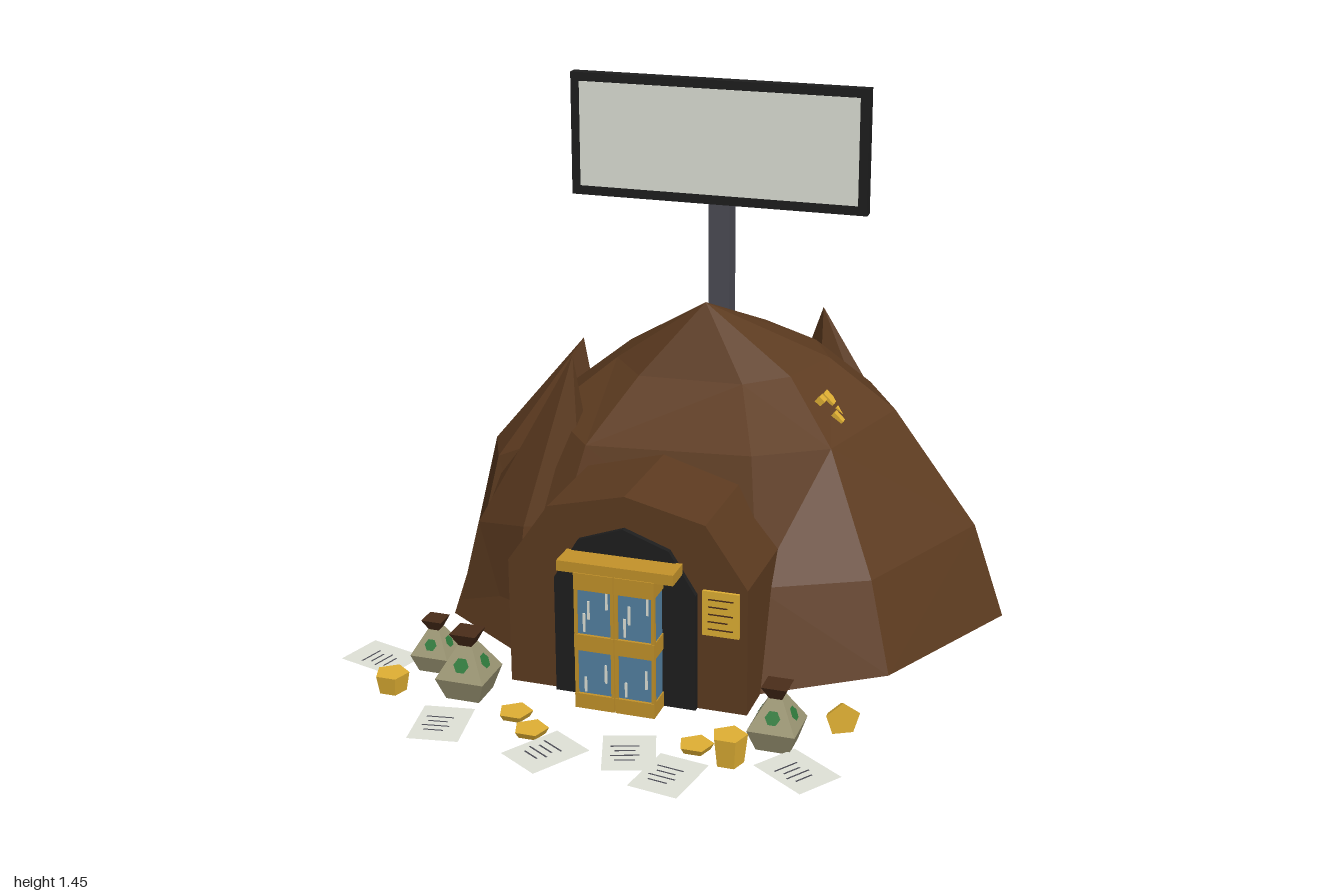
import * as THREE from 'three';

const mat = (name, color, extra = {}) => {
  const m = new THREE.MeshStandardMaterial({ color, flatShading: true, ...extra });
  m.name = name;
  return m;
};

export function createModel() {
  const root = new THREE.Group();
  const earth = mat('earth brown', 0x5d3b20, { side: THREE.DoubleSide });
  const black = mat('soft black', 0x1e1e1e);
  const steel = mat('steel grey', 0x4c4c55);
  const pale = mat('pale grey', 0xe0e2d8, { side: THREE.DoubleSide });
  const brass = mat('brass', 0xc4932a);
  const gold = mat('bright gold', 0xe0b034);
  const glass = mat('blue glass', 0x5482a2);
  const sack = mat('sackcloth', 0x9c9674);
  const knot = mat('dark leather', 0x4a2d1a);
  const green = mat('green', 0x2f7a3c);

  const add = (name, geometry, material, x = 0, y = 0, z = 0, parent = root) => {
    const m = new THREE.Mesh(geometry, material);
    m.name = name;
    m.position.set(x, y, z);
    parent.add(m);
    return m;
  };
  // box given by its extents
  const box = (name, material, x0, x1, y0, y1, z0, z1, parent = root) =>
    add(name, new THREE.BoxGeometry(x1 - x0, y1 - y0, z1 - z0), material,
      (x0 + x1) / 2, (y0 + y1) / 2, (z0 + z1) / 2, parent);
  const group = (name, x = 0, y = 0, z = 0, parent = root) => {
    const g = new THREE.Group();
    g.name = name;
    g.position.set(x, y, z);
    parent.add(g);
    return g;
  };

  // open-bottomed shell through stacked rings up to a point
  function shell(rings, apex) {
    const out = [];
    const n = rings[0].length;
    for (let r = 0; r < rings.length; r++) {
      for (let i = 0; i < n; i++) {
        const j = (i + 1) % n;
        const a = rings[r][i], b = rings[r][j];
        if (r === rings.length - 1) { out.push(...a, ...apex, ...b); continue; }
        const c = rings[r + 1][j], d = rings[r + 1][i];
        if ((i + r) % 2) out.push(...a, ...d, ...c, ...a, ...c, ...b);
        else out.push(...a, ...d, ...b, ...b, ...d, ...c);
      }
    }
    const g = new THREE.BufferGeometry();
    g.setAttribute('position', new THREE.Float32BufferAttribute(out, 3));
    g.computeVertexNormals();
    return g;
  }

  // mound, fuller towards the entrance
  const foot = [[0.82, -0.22], [0.6, 0.23], [0.31, 0.43], [-0.33, 0.43], [-0.63, 0.23],
    [-0.76, -0.22], [-0.6, -0.67], [-0.24, -0.95], [0.12, -0.95], [0.6, -0.67]];
  const levels = [[0, 1, 0], [0.25, 0.89, 0], [0.56, 0.6, 0.11], [0.7, 0.365, 0.085]];
  const moundRings = levels.map(([y, s, bulge], r) => foot.map(([x, z], i) => {
    const k = s + (z > 0.4 ? bulge : z > 0 ? bulge * 0.4 : 0);
    return [0.02 + (x - 0.02) * k, y + (r ? 0.012 * Math.sin(i * 3.1 + r) : 0), -0.22 + (z + 0.22) * k];
  }));
  add('mound', shell(moundRings, [0.02, 0.89, -0.02]), earth);

  // leaning rocks: peak, then foot outline
  const rocks = [
    [[-0.46, 0.64, -0.36], [[-0.39, -0.38], [-0.62, -0.24], [-0.76, -0.24], [-0.825, -0.38],
      [-0.66, -0.68], [-0.52, -0.68]]],
    [[-0.3, 0.76, 0.14], [[-0.25, 0.21], [-0.4, 0.36], [-0.62, 0.23], [-0.56, 0.07], [-0.24, 0.06]]],
    [[0.17, 0.69, -0.71], [[0.45, -0.76], [0.36, -0.69], [0.17, -0.66], [-0.02, -0.85],
      [0.02, -1], [0.31, -1]]]];
  for (const [peak, outline] of rocks) {
    const rings = [[0, 1], [0.3, 0.8]].map(([y, s], r) => outline.map(([x, z], i) =>
      [peak[0] + (x - peak[0]) * s, y + (r ? 0.03 * Math.sin(i * 2) : 0), peak[2] + (z - peak[2]) * s]));
    add('rock', shell(rings, peak), earth);
  }

  // entrance tunnel and dark doorway
  const arch = (pts, depth) => new THREE.ExtrudeGeometry(
    new THREE.Shape(pts.map(([x, y]) => new THREE.Vector2(x, y))), { depth, bevelEnabled: false });
  add('tunnel', arch([[-0.325, 0], [0.31, 0], [0.31, 0.34], [0.2, 0.5], [-0.01, 0.55],
    [-0.215, 0.5], [-0.325, 0.34]], 0.32), earth, 0, 0, 0.23);
  add('doorway', arch([[-0.195, 0], [0.18, 0], [0.18, 0.315], [0.11, 0.425], [-0.01, 0.468],
    [-0.13, 0.425], [-0.195, 0.315]], 0.015), black, 0, 0, 0.55);

  // double doors
  const doors = group('doors');
  for (const x0 of [-0.115, -0.008]) {
    const x1 = x0 + 0.104;
    box('doorGlass', glass, x0 + 0.003, x1 - 0.003, 0, 0.37, 0.566, 0.63, doors);
    for (const [y0, y1] of [[0, 0.04], [0.16, 0.203], [0.325, 0.37]])
      box('doorRail', brass, x0, x1, y0, y1, 0.565, 0.638, doors);
    for (const x of [x0, x1 - 0.008])
      box('doorStile', brass, x, x + 0.008, 0, 0.37, 0.624, 0.636, doors);
    // reflections
    for (const [dx, y, h] of [[0.022, 0.235, 0.05], [0.034, 0.27, 0.05], [0.082, 0.3, 0.045],
      [0.078, 0.1, 0.05], [0.024, 0.065, 0.04]])
      box('glint', pale, x0 + dx, x0 + dx + 0.006, y - h / 2, y + h / 2, 0.63, 0.633, doors);
  }
  box('lintel', brass, -0.16, 0.145, 0.368, 0.396, 0.56, 0.635, doors);

  // notice beside the door
  box('notice', gold, 0.195, 0.29, 0.21, 0.33, 0.55, 0.558);
  for (let i = 0; i < 5; i++)
    box('noticeLine', knot, 0.21, 0.275 - (i % 2) * 0.015, 0.227 + i * 0.02, 0.23 + i * 0.02, 0.558, 0.56);

  // sign on its post
  box('signPost', steel, -0.04, 0.02, 0.6, 1.32, -0.292, -0.235);
  box('signFrame', black, -0.425, 0.41, 1.11, 1.45, -0.235, -0.203);
  box('signPanel', pale, -0.4, 0.385, 1.136, 1.426, -0.204, -0.201);

  // gold flecks on the slope
  const flecks = group('goldFlecks', 0.357, 0.612, -0.067);
  flecks.rotation.z = -Math.PI / 4;
  for (const [u, z, w, d] of [[-0.035, 0.022, 0.02, 0.026], [-0.022, -0.018, 0.04, 0.034],
    [0.03, 0.022, 0.034, 0.022], [0.028, -0.018, 0.04, 0.034]])
    add('fleck', new THREE.BoxGeometry(w, 0.026, d), gold, u, 0, z, flecks);

  // money bags: square sacks with a mark on each upper face
  const frustum = (top, bottom, h) => new THREE.CylinderGeometry(
    top * Math.SQRT2, bottom * Math.SQRT2, h, 4).rotateY(Math.PI / 4);
  for (const [x, z, s] of [[-0.54, 0.54, 0.8], [-0.4, 0.65, 1], [0.42, 0.665, 0.93]]) {
    const bag = group('moneyBag', x, 0, z);
    bag.scale.setScalar(s);
    add('bagBase', frustum(0.065, 0.045, 0.06), sack, 0, 0.03, 0, bag);
    add('bagShoulder', frustum(0.02, 0.065, 0.08), sack, 0, 0.1, 0, bag);
    add('bagTop', frustum(0.035, 0.017, 0.037), knot, 0, 0.157, 0, bag);
    for (let i = 0; i < 4; i++) {
      const side = group('bagSide', 0, 0, 0, bag);
      side.rotation.y = i * Math.PI / 2;
      add('bagMark', new THREE.CircleGeometry(0.021, 6), green, 0, 0.098, 0.046, side).rotation.x = -0.51;
    }
  }

  // loose papers: x, z, turn
  const flat = (w, d) => new THREE.PlaneGeometry(w, d).rotateX(-Math.PI / 2);
  [[-0.7, 0.54, 1.29], [-0.4, 0.825, 0.16], [-0.1, 0.88, -0.55],
    [0.095, 0.825, 0.32], [0.22, 0.9, -0.16], [0.505, 0.79, 0.97]].forEach(([x, z, turn], k) => {
    const sheet = group('paper', x, 0.001 + k * 0.0015, z);
    sheet.rotation.y = turn;
    add('sheet', flat(0.13, 0.17), pale, 0, 0, 0, sheet);
    for (let i = 0; i < 4; i++)
      add('line', flat(0.07 - (i % 2) * 0.02, 0.005), steel, -0.01, 0.001, -0.03 + i * 0.022, sheet);
  });

  // five-sided coins: x, z, height of the pile
  const coin = h => new THREE.CylinderGeometry(0.045, 0.036, h, 5).rotateY(Math.PI);
  for (const [x, z, h] of [[-0.595, 0.695, 0.05], [-0.24, 0.73, 0.016], [-0.17, 0.8, 0.016],
    [0.24, 0.75, 0.016], [0.335, 0.785, 0.075]])
    add('coinPile', coin(h), gold, x, h / 2, z);
  const standing = add('standingCoin', coin(0.02), gold, 0.56, 0.048, 0.575);
  standing.rotation.set(Math.PI / 2, 0, -0.5);

  return root;
}
